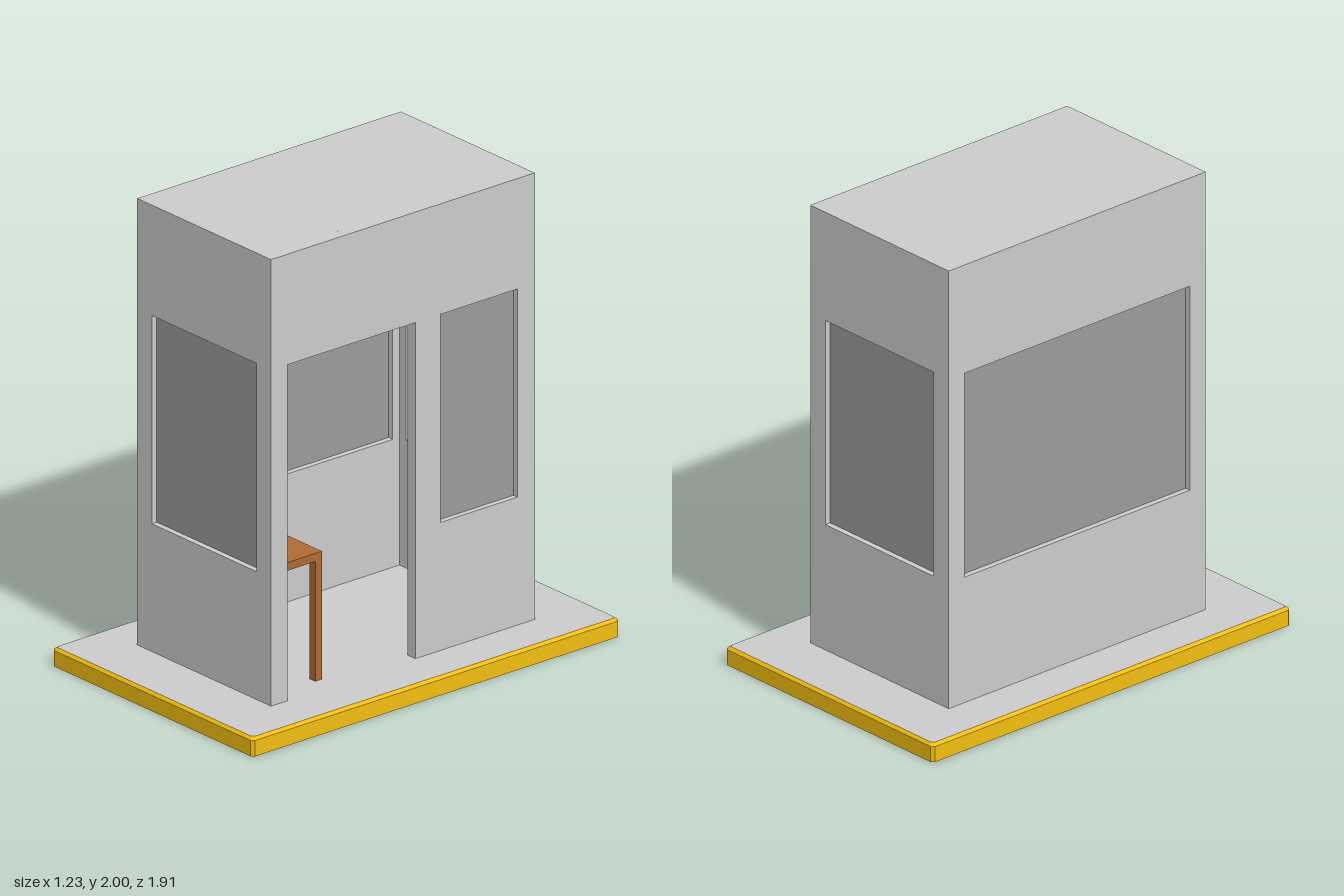
import * as THREE from 'three';

const grey = new THREE.MeshStandardMaterial({ color: 0xcccccc, side: THREE.DoubleSide });
const glass = new THREE.MeshStandardMaterial({ color: 0x9b9b9b, side: THREE.DoubleSide });
const yellow = new THREE.MeshStandardMaterial({ color: 0xf2be10, side: THREE.DoubleSide, flatShading: true });
const wood = new THREE.MeshStandardMaterial({ color: 0xb06a35 });

const HX = 0.41, HZ = 0.685, T = 0.05;          // booth half sizes, wall thickness
const FLOOR = 0.08, TOP = 2, SILL = 0.63, HEAD = 1.525;
const BX = 0.615, BZ = 0.955, BEVEL = 0.012;    // base half sizes, edge bevel

function add(parent, name, geometry, material, x = 0, y = 0, z = 0) {
  const mesh = new THREE.Mesh(geometry, material);
  mesh.name = name;
  mesh.position.set(x, y, z);
  parent.add(mesh);
  return mesh;
}

// Wall panel in its own XY plane, with glazed windows [u0, u1] and an optional doorway
function wall(name, half, windows, door) {
  const group = new THREE.Group();
  group.name = name;
  const outline = [[-half, FLOOR]];
  if (door) outline.push([door[0], FLOOR], [door[0], HEAD], [door[1], HEAD], [door[1], FLOOR]);
  outline.push([half, FLOOR], [half, TOP], [-half, TOP]);
  const shape = new THREE.Shape(outline.map(([u, v]) => new THREE.Vector2(u, v)));
  for (const [a, b] of windows) {
    const hole = [[a, SILL], [a, HEAD], [b, HEAD], [b, SILL]];
    shape.holes.push(new THREE.Path(hole.map(([u, v]) => new THREE.Vector2(u, v))));
    add(group, 'windowPane', new THREE.PlaneGeometry(b - a, HEAD - SILL), glass,
      (a + b) / 2, (SILL + HEAD) / 2, T / 2);
  }
  add(group, 'wallPanel', new THREE.ExtrudeGeometry(shape, { depth: T, bevelEnabled: false }), grey);
  return group;
}

// Rectangle with cut corners, inset from the base outline
function baseOutline(inset) {
  const x = BX - inset, z = BZ - inset, c = BEVEL;
  return [[x, z - c], [x - c, z], [c - x, z], [-x, z - c],
    [-x, c - z], [c - x, -z], [x - c, -z], [x, c - z]];
}

// Base: bevelled kerb around a thin deck, open underneath
function createBase() {
  const base = new THREE.Group();
  base.name = 'base';
  const rings = [[0, 0], [FLOOR - BEVEL, 0], [FLOOR, BEVEL]];
  const positions = [], index = [];
  rings.forEach(([y, inset], r) => {
    baseOutline(inset).forEach(([x, z], i) => {
      positions.push(x, y, z);
      if (r === 0) return;
      const j = (i + 1) % 8, lo = (r - 1) * 8, hi = r * 8;
      index.push(lo + i, hi + i, hi + j, lo + i, hi + j, lo + j);
    });
  });
  // outline runs clockwise seen from above, so reverse to face outward
  index.reverse();
  const indexed = new THREE.BufferGeometry();
  indexed.setAttribute('position', new THREE.Float32BufferAttribute(positions, 3));
  indexed.setIndex(index);
  const kerb = indexed.toNonIndexed();
  kerb.computeVertexNormals();
  add(base, 'kerb', kerb, yellow);

  const deck = new THREE.Shape(baseOutline(BEVEL).map(([x, z]) => new THREE.Vector2(x, z)));
  add(base, 'deck', new THREE.ShapeGeometry(deck).rotateX(-Math.PI / 2), grey, 0, FLOOR, 0);
  return base;
}

// Desk against the front wall: top board on four square legs
function createDesk() {
  const desk = new THREE.Group();
  desk.name = 'desk';
  const w = 0.66, d = 0.275, t = 0.035, z = 0.49, h = SILL - t - FLOOR;
  add(desk, 'deskTop', new THREE.BoxGeometry(w, t, d), wood, 0, SILL - t / 2, z);
  for (const sx of [-1, 1]) {
    for (const sz of [-1, 1]) {
      add(desk, 'deskLeg', new THREE.BoxGeometry(t, h, t), wood,
        sx * (w - t) / 2, FLOOR + h / 2, z + sz * (d - t) / 2);
    }
  }
  return desk;
}

export function createModel() {
  const model = new THREE.Group();
  model.name = 'booth';
  model.add(createBase());

  // End walls
  const front = wall('frontWall', HX, [[-0.32, 0.32]]);
  front.position.z = HZ - T;
  const back = wall('backWall', HX, [[-0.32, 0.32]]);
  back.position.z = -HZ;

  // Side walls: turned so that local x runs towards the back
  const right = wall('doorWall', HZ - T, [[0.195, 0.595]], [-0.6, 0.065]);
  right.position.x = HX - T;
  const left = wall('windowWall', HZ - T, [[-0.6, 0.6]]);
  left.position.x = -HX;
  right.rotation.y = left.rotation.y = Math.PI / 2;
  model.add(front, back, right, left);

  // Roof slab between the walls
  add(model, 'roof', new THREE.BoxGeometry(2 * (HX - T), T, 2 * (HZ - T)), grey, 0, TOP - T / 2, 0);

  model.add(createDesk());
  return model;
}
